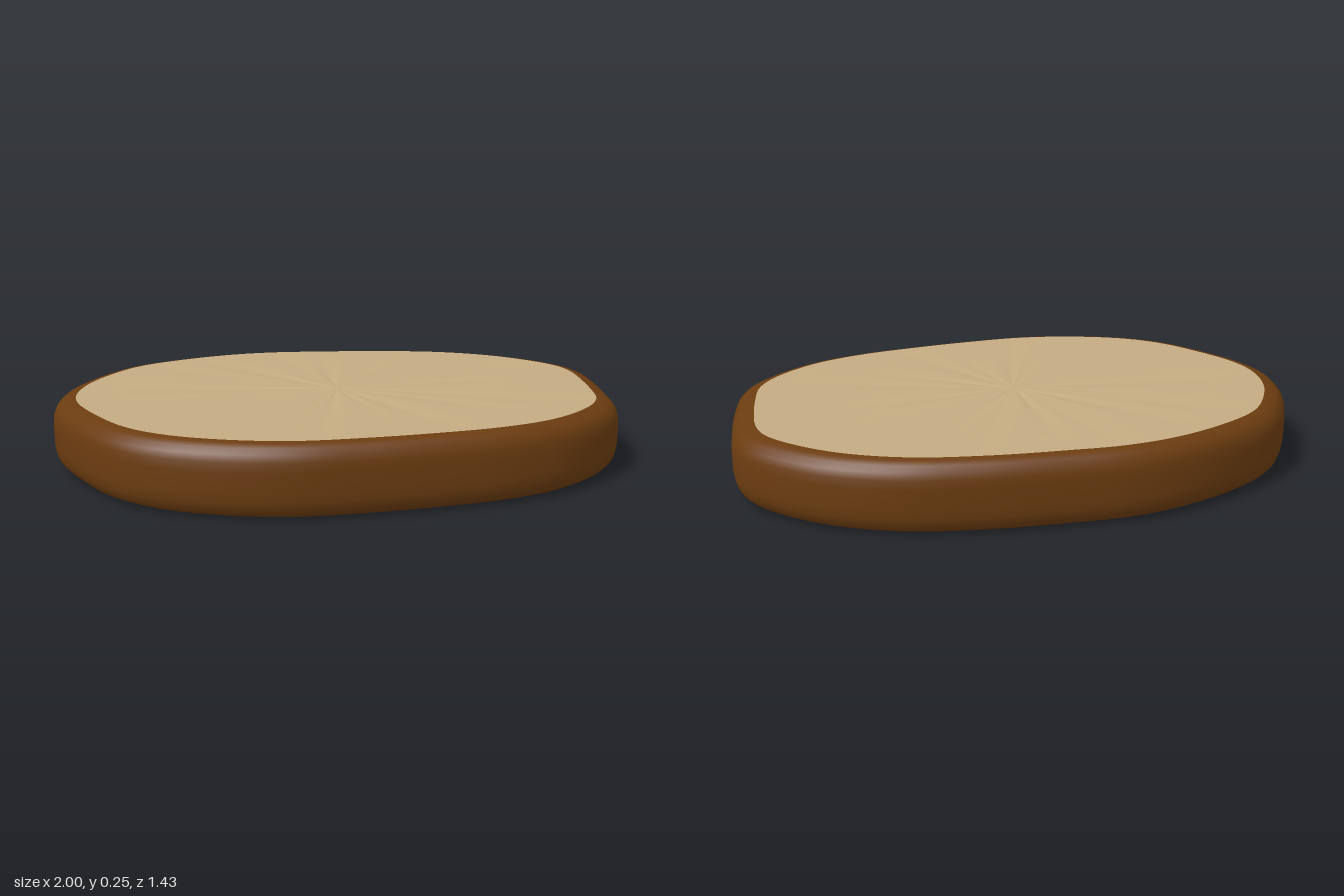
import * as THREE from 'three';

// Irregular outline of the slab (x, z), counter-clockwise seen from above
const OUTLINE = [
  [1, -0.17], [0.982, -0.27], [0.92, -0.37], [0.76, -0.52], [0.54, -0.63], [0.28, -0.685],
  [0, -0.71], [-0.19, -0.717], [-0.38, -0.69], [-0.6, -0.61], [-0.78, -0.5], [-0.9, -0.34],
  [-0.97, -0.19], [-1, -0.03], [-0.985, 0.1], [-0.92, 0.26], [-0.8, 0.46], [-0.66, 0.58],
  [-0.45, 0.67], [-0.23, 0.712], [0, 0.705], [0.25, 0.677], [0.5, 0.63], [0.7, 0.55],
  [0.87, 0.41], [0.95, 0.28], [0.98, 0.12], [0.995, -0.03],
];

// Rounded edge of the bark: scale of the outline, height
const RIM = [
  [0.92, 0.004], [0.945, 0.008], [0.968, 0.018], [0.986, 0.036], [0.996, 0.06], [1, 0.09],
  [1, 0.16], [0.996, 0.19], [0.986, 0.213], [0.968, 0.231], [0.945, 0.241], [0.92, 0.245],
];
const FACE = [0, 0.08, 0.2, 0.35, 0.5, 0.65, 0.78, 0.87, 0.92];
const SEGMENTS = 120;

// Faint radial grain that fades out at the rim
function grain(angle, s) {
  const fade = Math.min(1, s * 8) * (1 - (s / 0.92) ** 6);
  return 0.0011 * fade * (Math.sin(angle * 9 + s * 2) + Math.sin(angle * 17 - s * 3 + 1) + 0.7 * Math.sin(angle * 26 + 2));
}

// Closed loops of the outline, joined from one to the next
function loft(points, rings, ripple) {
  const positions = [], index = [], n = points.length;
  for (const [s, y] of rings) {
    for (const p of points) {
      const h = ripple ? grain(Math.atan2(p.z, p.x), s) : 0;
      positions.push(p.x * s, y + h, p.z * s);
    }
  }
  for (let r = 0; r < rings.length - 1; r++) {
    for (let i = 0; i < n; i++) {
      const j = (i + 1) % n;
      const a = r * n + i, b = r * n + j, c = b + n, d = a + n;
      index.push(a, b, c, a, c, d);
    }
  }
  const geometry = new THREE.BufferGeometry();
  geometry.setAttribute('position', new THREE.Float32BufferAttribute(positions, 3));
  geometry.setIndex(index);
  geometry.computeVertexNormals();
  return geometry;
}

export function createModel() {
  const bark = new THREE.MeshStandardMaterial({ name: 'bark brown', color: 0x6b3c10 });
  const wood = new THREE.MeshStandardMaterial({ name: 'cut wood', color: 0xc4ab82 });

  const curve = new THREE.CatmullRomCurve3(OUTLINE.map(([x, z]) => new THREE.Vector3(x, 0, z)), true);
  const points = curve.getSpacedPoints(SEGMENTS).slice(0, SEGMENTS);

  const group = new THREE.Group();
  group.name = 'woodSlice';
  const add = (name, geometry, material) => {
    const mesh = new THREE.Mesh(geometry, material);
    mesh.name = name;
    group.add(mesh);
  };

  // Bark ring around the edge
  add('barkRim', loft(points, RIM, false), bark);
  // Cut faces: the top runs from rim to centre, the bottom from centre to rim
  add('topFace', loft(points, [...FACE].reverse().map((s) => [s, 0.245]), true), wood);
  add('bottomFace', loft(points, FACE.map((s) => [s, 0.004]), true), wood);
  return group;
}
